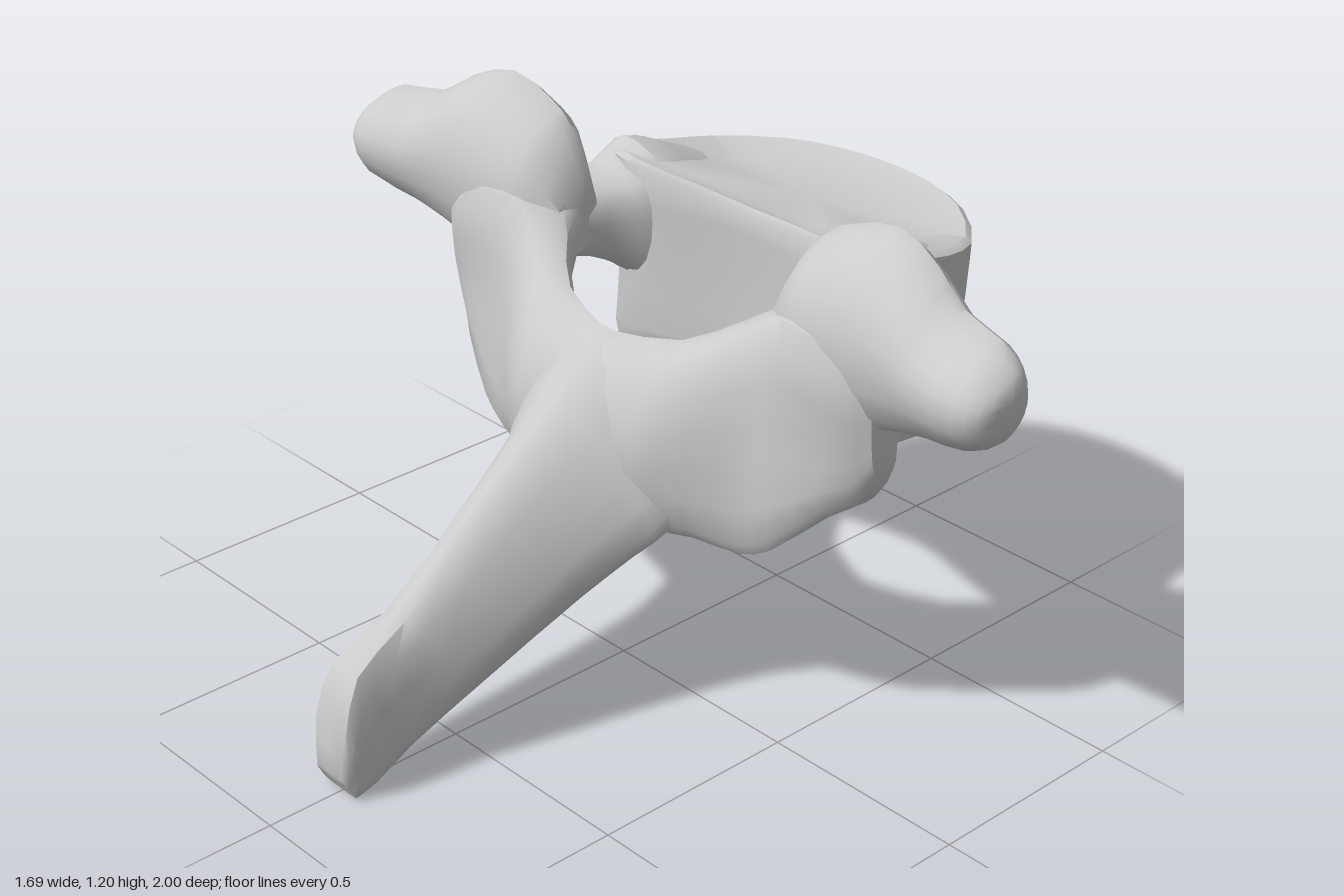
import * as THREE from 'three';
import { mergeVertices, toCreasedNormals } from 'three/addons/utils/BufferGeometryUtils.js';

const material = new THREE.MeshStandardMaterial({ color: 0xcccccc });
const V = (x, y, z) => new THREE.Vector3(x, y, z);

// Closed solid through rings of points; both directions are splined
function loft(name, rings, { around = 20, steps = 2, side = 1 } = {}) {
  const smooth = rings.map((r) => {
    const curve = new THREE.CatmullRomCurve3(r, true, 'centripetal');
    return Array.from({ length: around }, (_, i) => curve.getPoint(i / around));
  });
  const count = (rings.length - 1) * steps + 1;
  const rails = Array.from({ length: around }, (_, i) =>
    new THREE.CatmullRomCurve3(smooth.map((r) => r[i]), false, 'centripetal'));
  const pts = [], index = [];
  for (let j = 0; j < count; j++) rails.forEach((c) => pts.push(c.getPoint(j / (count - 1))));
  const middle = (j) => {
    const m = V(0, 0, 0);
    for (let i = 0; i < around; i++) m.addScaledVector(pts[j * around + i], 1 / around);
    return m;
  };
  const caps = [middle(0), middle(count - 1)];
  const first = pts.length;
  pts.push(...caps);
  for (let i = 0; i < around; i++) {
    const k = (i + 1) % around, e = (count - 1) * around;
    for (let j = 0; j < count - 1; j++) {
      const a = j * around + i, b = j * around + k;
      index.push(a, b, b + around, a, b + around, a + around);
    }
    index.push(first, k, i, first + 1, e + i, e + k);
  }
  pts.forEach((p) => { p.z *= side; });
  // Turn the faces outward whatever the ring direction
  let volume = 0;
  for (let t = 0; t < index.length; t += 3) {
    const [a, b, c] = [0, 1, 2].map((n) => pts[index[t + n]]);
    volume += a.dot(V(0, 0, 0).crossVectors(b, c));
  }
  if (volume < 0) index.reverse();
  let geo = new THREE.BufferGeometry().setFromPoints(pts);
  geo.setIndex(index);
  geo = toCreasedNormals(mergeVertices(geo), 0.75);
  const mesh = new THREE.Mesh(geo, material);
  mesh.name = name;
  return mesh;
}

// Kidney-shaped drum: ends slightly dished, lower rim dropping at the flanks
function vertebralBody() {
  const half = [[0.38, 0], [0.36, 0.15], [0.33, 0.29], [0.33, 0.39], [0.42, 0.44],
    [0.54, 0.445], [0.65, 0.415], [0.775, 0.28], [0.83, 0.14], [0.845, 0]];
  const outline = [...half, ...half.slice(1, -1).reverse().map(([x, z]) => [x, -z])];
  const levels = [[0.62, 0.7], [0.595, 0.93], [0.605, 0.985], [0.64, 1], [0.72, 0.985],
    [0.84, 0.98], [0.94, 0.995], [0.98, 1], [0.99, 0.96], [0.97, 0.7]];
  return loft('vertebralBody', levels.map(([y, s], n) => outline.map(([x, z]) => {
    const flank = Math.abs(z) / 0.44;
    const rise = n > 6 ? Math.max(0, 0.6 - x) * (0.07 + 0.15 * flank) : 0;
    const drop = n < 4 ? 0.03 * flank : 0;
    return V(0.58 + (x - 0.58) * s, y + rise - drop, z * s);
  })), { around: 36, steps: 1 });
}

// Long spine sloping down and back, flaring toward the arch:
// [bottom x, y, half width, top x, y, half width]
function rearSpine() {
  const sections = [
    [-0.81, 0.01, 0.055, -0.845, 0.07, 0.04],
    [-0.76, 0.03, 0.065, -0.83, 0.18, 0.055],
    [-0.67, 0.08, 0.07, -0.785, 0.3, 0.045],
    [-0.48, 0.19, 0.11, -0.65, 0.375, 0.035],
    [-0.25, 0.32, 0.165, -0.42, 0.555, 0.035],
    [-0.14, 0.39, 0.21, -0.27, 0.67, 0.04],
    [-0.08, 0.46, 0.27, -0.15, 0.77, 0.06],
    [-0.03, 0.5, 0.25, -0.05, 0.84, 0.09],
  ];
  return loft('rearSpine', sections.map(([bx, by, bw, tx, ty, tw]) => {
    const mw = bw * 0.75 + tw * 0.25, mx = (bx + tx) / 2, my = (by + ty) / 2;
    return [V(bx, by, 0), V(bx, by, bw * 0.8), V(bx * 0.85 + tx * 0.15, by * 0.85 + ty * 0.15, bw),
      V(mx, my, mw), V(tx, ty, tw), V(tx, ty, -tw), V(mx, my, -mw),
      V(bx * 0.85 + tx * 0.15, by * 0.85 + ty * 0.15, -bw), V(bx, by, -bw * 0.8)];
  }));
}

// Sheet behind the canal, with the lower joint facet hanging at z = 0.4
function lamina(side) {
  const sections = [
    [0, [[-0.05, 0.5], [-0.045, 0.68], [-0.045, 0.85], [-0.13, 0.78], [-0.16, 0.62], [-0.1, 0.47]]],
    [0.18, [[-0.02, 0.49], [-0.01, 0.68], [0.01, 0.87], [-0.08, 0.83], [-0.16, 0.66], [-0.11, 0.46]]],
    [0.29, [[0.03, 0.49], [0.07, 0.7], [0.1, 0.93], [0.0, 0.9], [-0.09, 0.7], [-0.07, 0.465]]],
    [0.39, [[0.04, 0.48], [0.16, 0.72], [0.24, 0.97], [0.05, 0.98], [-0.02, 0.72], [-0.025, 0.45]]],
    [0.46, [[0.06, 0.52], [0.18, 0.72], [0.25, 0.98], [0.04, 1.0], [0.0, 0.75], [-0.005, 0.48]]],
    [0.57, [[0.15, 0.62], [0.19, 0.76], [0.23, 0.97], [0.04, 0.98], [0.03, 0.75], [0.04, 0.59]]],
    [0.63, [[0.15, 0.64], [0.17, 0.76], [0.2, 0.94], [0.05, 0.94], [0.05, 0.76], [0.08, 0.635]]],
    [0.67, [[0.14, 0.71], [0.15, 0.79], [0.18, 0.92], [0.08, 0.92], [0.07, 0.79], [0.09, 0.71]]],
  ];
  return loft('lamina', sections.map(([z, ring]) => ring.map(([x, y]) => V(x, y, z))), { side });
}

// Side wing with the raised upper joint at its root: [z, x0, x1, y0, y1]
function sideWing(side) {
  const sections = [[0.34, 0.1, 0.23, 0.85, 1.02], [0.4, 0.06, 0.25, 0.8, 1.14],
    [0.47, 0.04, 0.265, 0.78, 1.18], [0.6, 0.035, 0.265, 0.78, 1.215], [0.72, 0.03, 0.24, 0.82, 1.175],
    [0.81, 0.02, 0.22, 0.85, 1.115], [0.93, 0.0, 0.19, 0.88, 1.1], [0.98, 0.02, 0.17, 0.91, 1.07],
    [1, 0.06, 0.14, 0.97, 1.04]];
  return loft('sideWing', sections.map(([z, x0, x1, y0, y1]) => {
    const w = x1 - x0, h = y1 - y0;
    return [[0, 0.45], [0.2, 0.08], [0.6, 0], [0.92, 0.2], [1, 0.5], [0.8, 0.98], [0.5, 0.94], [0.15, 0.75]]
      .map(([u, v]) => V(x0 + u * w, y0 + v * h, z));
  }), { side });
}

// Bridge from the drum to the arch: [x, y0, y1, z0, z1]
function pedicle(side) {
  const sections = [[0.12, 0.83, 0.98, 0.36, 0.5], [0.25, 0.8, 1.0, 0.325, 0.5],
    [0.31, 0.77, 1.01, 0.29, 0.48], [0.37, 0.72, 1.065, 0.25, 0.465], [0.46, 0.7, 1.035, 0.23, 0.455],
    [0.56, 0.72, 0.99, 0.24, 0.44], [0.66, 0.78, 0.95, 0.26, 0.39]];
  return loft('pedicle', sections.map(([x, y0, y1, z0, z1]) =>
    [[0.2, 0.05], [0.75, 0.05], [1, 0.5], [0.9, 0.93], [0.6, 1], [0.1, 0.85], [0, 0.5]]
      .map(([u, v]) => V(x, y0 + v * (y1 - y0), z0 + u * (z1 - z0)))), { side });
}

export function createModel() {
  const model = new THREE.Group();
  model.name = 'vertebra';
  model.add(vertebralBody(), rearSpine());
  for (const side of [1, -1]) {
    const arch = new THREE.Group();
    arch.name = side > 0 ? 'frontArch' : 'backArch';
    arch.add(lamina(side), sideWing(side), pedicle(side));
    model.add(arch);
  }
  return model;
}
